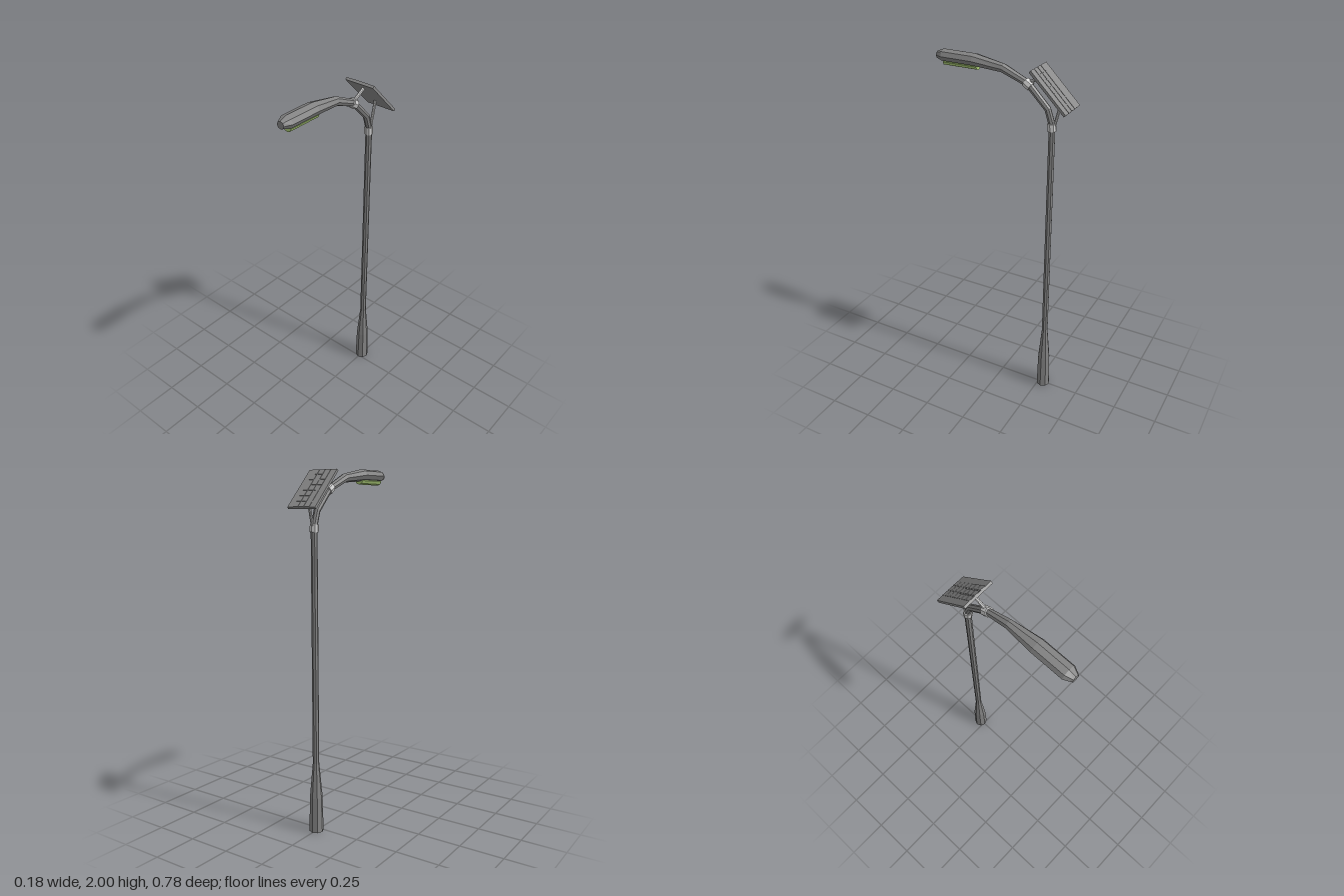
import * as THREE from 'three';

const SIDES = 8;
const paint = (color) => new THREE.MeshStandardMaterial({ color, flatShading: true });
const dark = paint(0x838383);
const grey = paint(0xcccccc);
const slate = paint(0x8a8a8a);
const green = paint(0xaccc78);

function add(parent, name, geometry, material) {
  const mesh = new THREE.Mesh(geometry, material);
  mesh.name = name;
  parent.add(mesh);
  return mesh;
}

// Eight-sided skin through rings [z, y, halfWidth, halfHeight, tilt in degrees] in the yz plane
function loft(rings) {
  const pos = [], index = [];
  for (const [z, y, hw, hh, tilt] of rings) {
    const t = THREE.MathUtils.degToRad(tilt);
    for (let j = 0; j < SIDES; j++) {
      const a = (j / SIDES) * Math.PI * 2, n = hh * Math.sin(a);
      pos.push(hw * Math.cos(a), y + n * Math.cos(t), z - n * Math.sin(t));
    }
  }
  const last = (rings.length - 1) * SIDES;
  for (let i = 0; i < last; i += SIDES) {
    for (let j = 0; j < SIDES; j++) {
      const k = (j + 1) % SIDES;
      index.push(i + j, i + k, i + SIDES + k, i + j, i + SIDES + k, i + SIDES + j);
    }
  }
  for (let j = 1; j < SIDES - 1; j++) {
    index.push(0, j + 1, j, last, last + j, last + j + 1);
  }
  const g = new THREE.BufferGeometry();
  g.setAttribute('position', new THREE.Float32BufferAttribute(pos, 3));
  g.setIndex(index);
  g.computeVertexNormals();
  return g;
}

// Straight round bar between two [z, y] points
function bar(parent, name, from, to, radius) {
  const a = new THREE.Vector3(0, from[1], from[0]);
  const b = new THREE.Vector3(0, to[1], to[0]);
  const dir = b.clone().sub(a);
  const mesh = add(parent, name, new THREE.CylinderGeometry(radius, radius, dir.length(), SIDES), grey);
  mesh.position.copy(a).add(b).multiplyScalar(0.5);
  mesh.quaternion.setFromUnitVectors(new THREE.Vector3(0, 1, 0), dir.normalize());
}

export function createModel() {
  const model = new THREE.Group();
  model.name = 'solarStreetLamp';
  const poleZ = -0.28;

  // Pole with a wide tapered foot
  const profile = [[0, 0], [0.04, 0], [0.036, 0.2], [0.018, 0.4], [0.018, 1.68], [0, 1.68]];
  const pole = add(model, 'pole',
    new THREE.LatheGeometry(profile.map(([r, y]) => new THREE.Vector2(r, y)), SIDES), dark);
  pole.position.z = poleZ;

  // Curved arm
  add(model, 'arm', loft([
    [poleZ, 1.67, 0.018, 0.018, 90],
    [-0.277, 1.7, 0.018, 0.018, 82],
    [-0.253, 1.772, 0.018, 0.018, 58],
    [-0.143, 1.885, 0.019, 0.019, 34],
  ]), dark);

  // Lamp head flaring out of the arm to a blunt nose
  add(model, 'lampHead', loft([
    [-0.143, 1.885, 0.019, 0.019, 34],
    [0, 1.945, 0.026, 0.024, 14],
    [0.165, 1.966, 0.043, 0.033, 0],
    [0.348, 1.967, 0.043, 0.033, 0],
    [0.388, 1.965, 0.022, 0.02, 0],
  ]), dark);

  // Green light strip bulging from under the head
  add(model, 'light', loft([
    [0.145, 1.936, 0.024, 0.021, 0],
    [0.345, 1.936, 0.024, 0.021, 0],
  ]), green);

  // Clamps on the pole top and the arm
  bar(model, 'poleClamp', [poleZ, 1.66], [-0.277, 1.701], 0.024);
  bar(model, 'armClamp', [-0.157, 1.873], [-0.125, 1.894], 0.026);

  // Struts carrying the panel
  bar(model, 'lowerStrut', [-0.291, 1.68], [-0.33, 1.836], 0.008);
  bar(model, 'upperStrut', [-0.143, 1.891], [-0.228, 1.938], 0.009);

  // Tilted solar panel with raised cells
  const panel = new THREE.Group();
  panel.name = 'solarPanel';
  panel.position.set(0, 1.88, -0.2875);
  panel.rotation.x = -Math.PI / 4;
  model.add(panel);
  add(panel, 'panelBoard', new THREE.BoxGeometry(0.176, 0.014, 0.274), slate);
  const cell = new THREE.BoxGeometry(0.03, 0.004, 0.0355);
  for (let row = -3; row <= 3; row++) {
    for (let col = -1; col <= 1; col++) {
      add(panel, 'solarCell', cell, slate).position.set(col * 0.036, 0.007, row * 0.039);
    }
  }
  return model;
}
